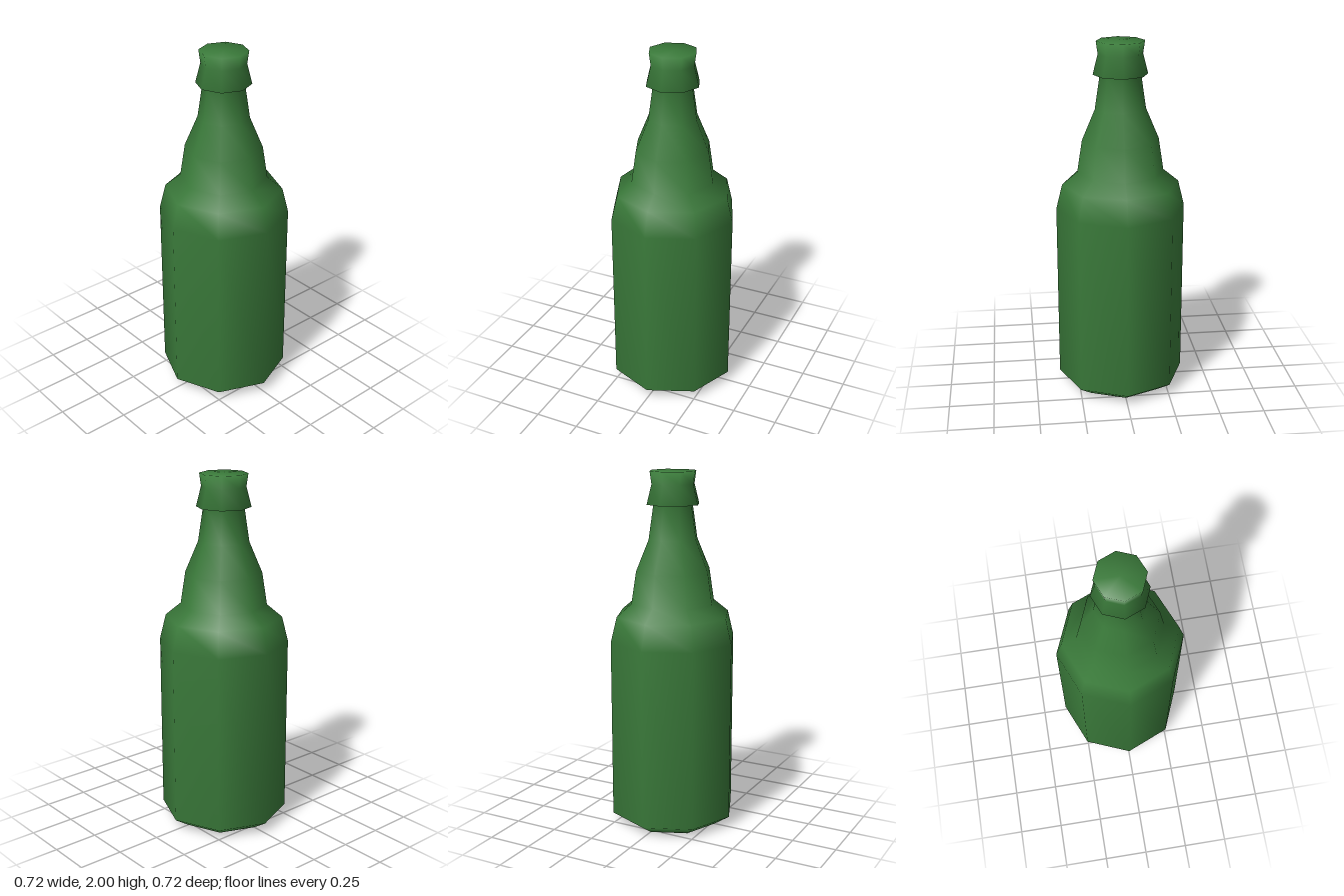
import * as THREE from 'three';

export function createModel() {
  const group = new THREE.Group();
  group.name = 'bottle';

  const greenGlass = new THREE.MeshStandardMaterial({ color: 0x3a7a3a });
  greenGlass.name = 'greenGlass';

  // Radius and height, from the base centre up to the mouth centre
  const profile = [
    [0, 0], [0.27, 0], [0.36, 0.06],              // chamfered base
    [0.36, 1.07], [0.325, 1.21], [0.24, 1.28],    // body and shoulder
    [0.212, 1.46], [0.14, 1.63], [0.112, 1.82],   // tapering neck
    [0.15, 1.82], [0.122, 1.93], [0.132, 2],      // flared collar and lip
    [0, 2],                                       // closed top
  ].map(([r, y]) => new THREE.Vector2(r, y));

  // Eight-sided, smoothly shaded glass with corners on the x and z axes
  const glass = new THREE.Mesh(new THREE.LatheGeometry(profile, 8), greenGlass);
  glass.name = 'bottleGlass';
  group.add(glass);

  return group;
}
